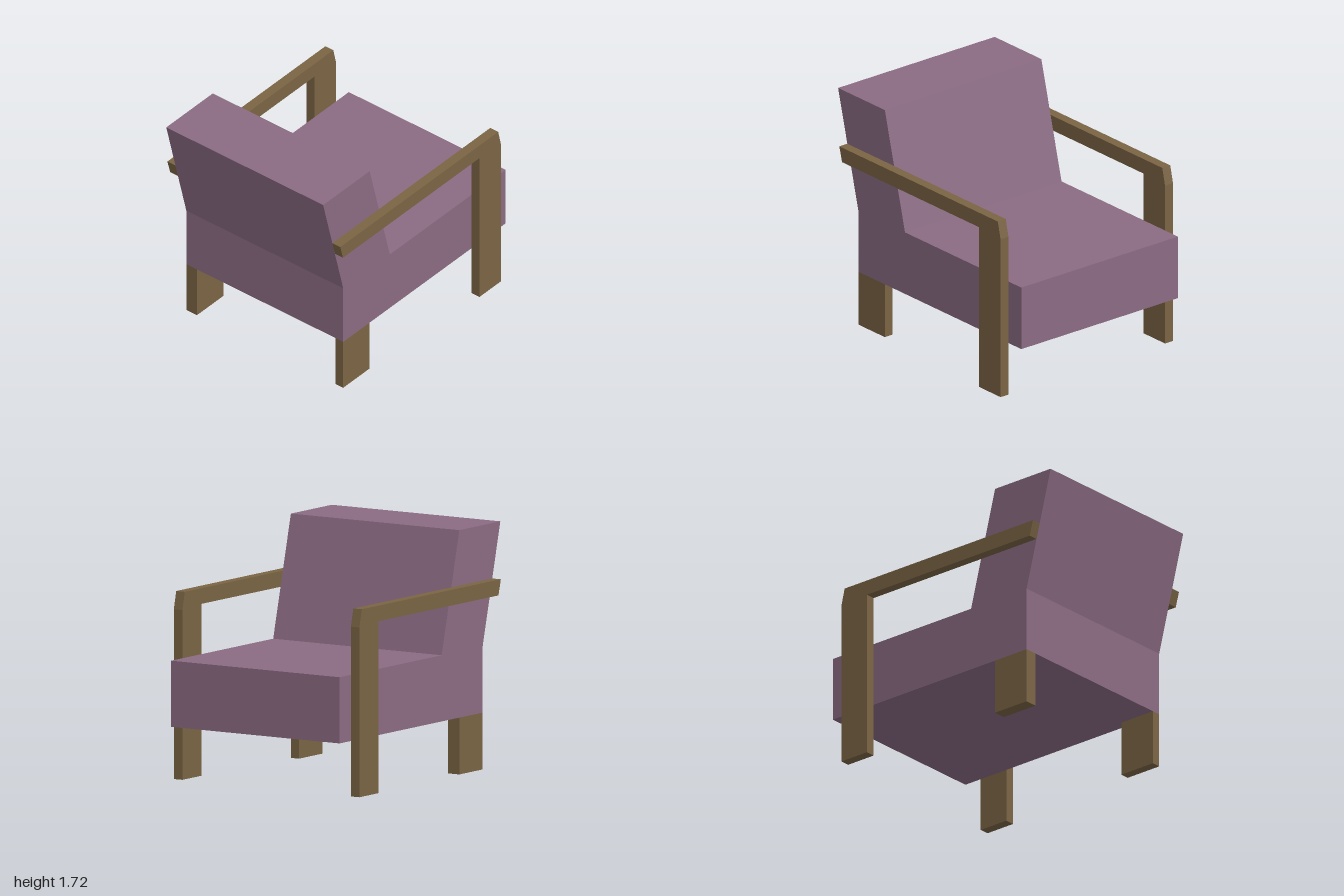
import * as THREE from 'three';

const fabric = new THREE.MeshStandardMaterial({ color: 0x8b6b83, flatShading: true });
const wood = new THREE.MeshStandardMaterial({ color: 0x7a6444, flatShading: true });

// Extrudes a side profile (x, y) between two z positions
function panel(name, profile, z0, z1, material) {
  const shape = new THREE.Shape(profile.map(([x, y]) => new THREE.Vector2(x, y)));
  const geometry = new THREE.ExtrudeGeometry(shape, { depth: z1 - z0, bevelEnabled: false });
  geometry.translate(0, 0, z0);
  const mesh = new THREE.Mesh(geometry, material);
  mesh.name = name;
  return mesh;
}

export function createModel() {
  const chair = new THREE.Group();
  chair.name = 'armchair';
  const half = 0.708; // half the width of the upholstery
  const outer = 0.78; // outside of the arm frames

  // Upholstered seat and leaning backrest in one block
  chair.add(panel('seatAndBackrest', [
    [-0.78, 0.4], [1, 0.4], [1, 0.866], [-0.27, 0.866],
    [-0.49, 1.72], [-1, 1.72], [-0.78, 0.866],
  ], -half, half, fabric));

  // Armrest with front leg, one flat frame on each side
  const frame = [
    [0.625, 0.01], [0.86, 0.01], [0.86, 1.205], [0.83, 1.33],
    [-0.9, 1.33], [-0.87, 1.22], [0.625, 1.22],
  ];
  chair.add(panel('leftArmFrame', frame, half, outer, wood));
  chair.add(panel('rightArmFrame', frame, -outer, -half, wood));

  // Short rear legs under the seat, one slightly thicker
  const leg = [[-0.78, 0], [-0.49, 0], [-0.49, 0.4], [-0.78, 0.4]];
  chair.add(panel('leftRearLeg', leg, 0.64, half, wood));
  chair.add(panel('rightRearLeg', leg, -half, -0.613, wood));

  return chair;
}
